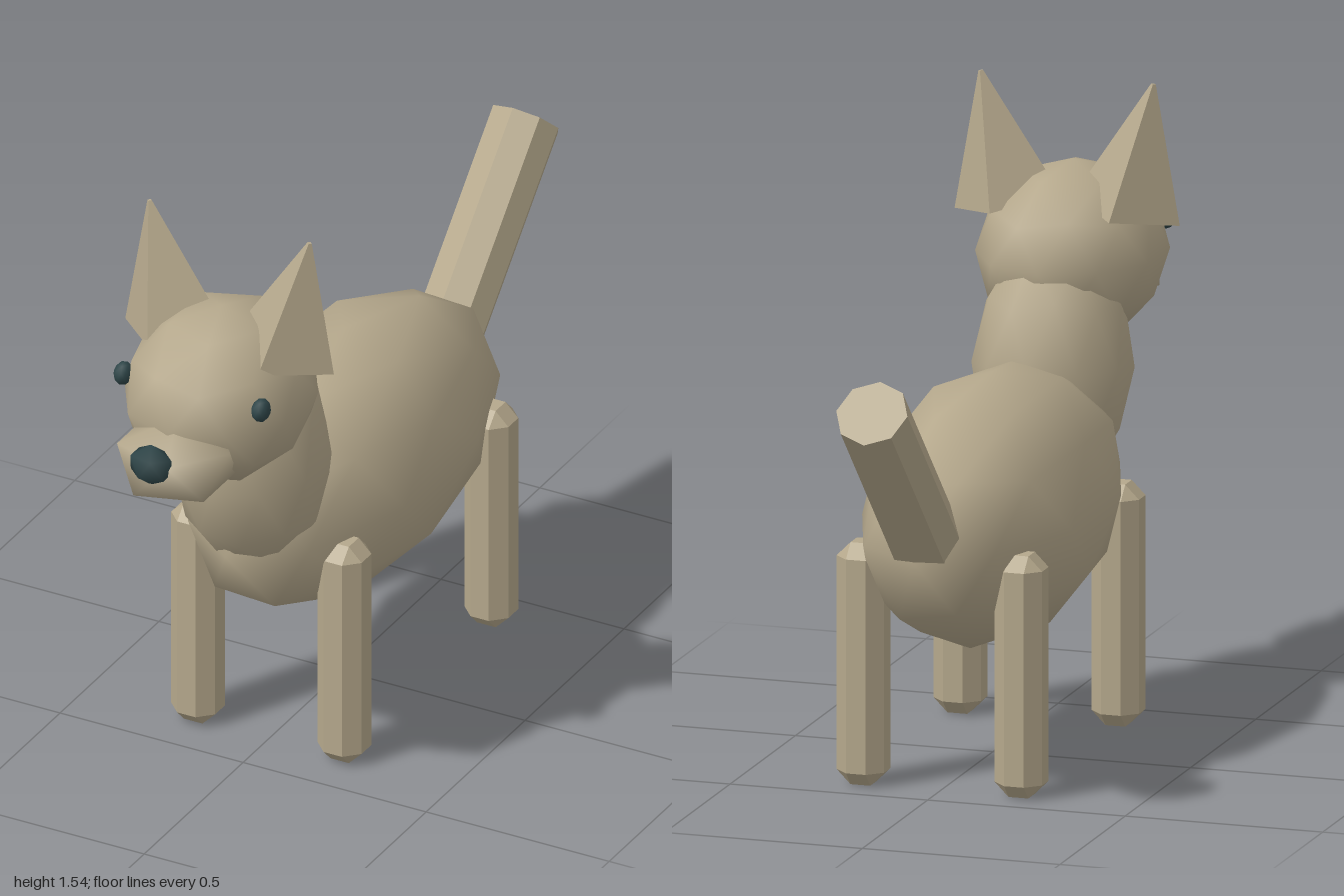
import * as THREE from 'three';
import { ConvexGeometry } from 'three/addons/geometries/ConvexGeometry.js';

const fur = new THREE.MeshStandardMaterial({ color: 0xb5a88c });
fur.name = 'tan fur';
const furFlat = fur.clone();
furFlat.flatShading = true;
furFlat.name = 'tan fur faceted';
const dark = new THREE.MeshStandardMaterial({ color: 0x2f4649 });
dark.name = 'dark slate';

// Smooth-shaded icosphere with its poles on y, stretched to the given radii
function blob(name, material, radii, position, detail = 1) {
  const g = new THREE.IcosahedronGeometry(1, detail);
  g.rotateX(-Math.atan((1 + Math.sqrt(5)) / 2)).rotateY(Math.PI / 2);
  g.setAttribute('normal', g.getAttribute('position').clone());
  g.scale(...radii);
  const mesh = new THREE.Mesh(g, material);
  mesh.name = name;
  mesh.position.set(...position);
  return mesh;
}

// Box with all edges chamfered by b
function chamferedBox(hx, hy, hz, b) {
  const points = [];
  for (const sx of [-1, 1]) for (const sy of [-1, 1]) for (const sz of [-1, 1]) {
    points.push(
      new THREE.Vector3(sx * hx, sy * (hy - b), sz * (hz - b)),
      new THREE.Vector3(sx * (hx - b), sy * hy, sz * (hz - b)),
      new THREE.Vector3(sx * (hx - b), sy * (hy - b), sz * hz));
  }
  return new ConvexGeometry(points);
}

export function createModel() {
  const model = new THREE.Group();
  model.name = 'dog';

  // Torso, neck and head
  model.add(blob('body', fur, [0.28, 0.33, 0.6], [0, 0.615, -0.01]));
  const neck = blob('neck', fur, [0.195, 0.32, 0.21], [0, 0.85, 0.46]);
  neck.rotation.x = 0.12;
  model.add(neck);
  model.add(blob('head', fur, [0.23, 0.225, 0.275], [0, 1.1, 0.61]));
  model.add(blob('muzzle', fur, [0.163, 0.11, 0.16], [0, 1.017, 0.835], 0));
  model.add(blob('nose', dark, [0.062, 0.055, 0.041], [0, 1.063, 0.965], 0));

  const legGeometry = chamferedBox(0.06, 0.3, 0.06, 0.035);
  const earGeometry = new THREE.CylinderGeometry(0.006, 0.137, 0.325, 4);
  earGeometry.translate(0, 0.1625, 0);

  for (const [side, label] of [[1, 'left'], [-1, 'right']]) {
    // Eyes
    model.add(blob(label + 'Eye', dark, [0.023, 0.03, 0.029], [side * 0.188, 1.16, 0.757]));

    // Ears lean outwards
    const ear = new THREE.Mesh(earGeometry, furFlat);
    ear.name = label + 'Ear';
    ear.position.set(side * 0.151, 1.218, 0.568);
    ear.rotation.z = -side * 0.21;
    model.add(ear);

    // Legs
    for (const [end, z] of [['Front', 0.357], ['Back', -0.385]]) {
      const leg = new THREE.Mesh(legGeometry, furFlat);
      leg.name = label + end + 'Leg';
      leg.position.set(side * 0.2, 0.3, z);
      model.add(leg);
    }
  }

  // Tail rises backwards at 45 degrees
  const tail = new THREE.Mesh(new THREE.CylinderGeometry(0.09, 0.09, 0.6, 8), furFlat);
  tail.name = 'tail';
  tail.position.set(0, 0.848, -0.715);
  tail.rotation.x = -Math.PI / 4;
  model.add(tail);

  return model;
}
